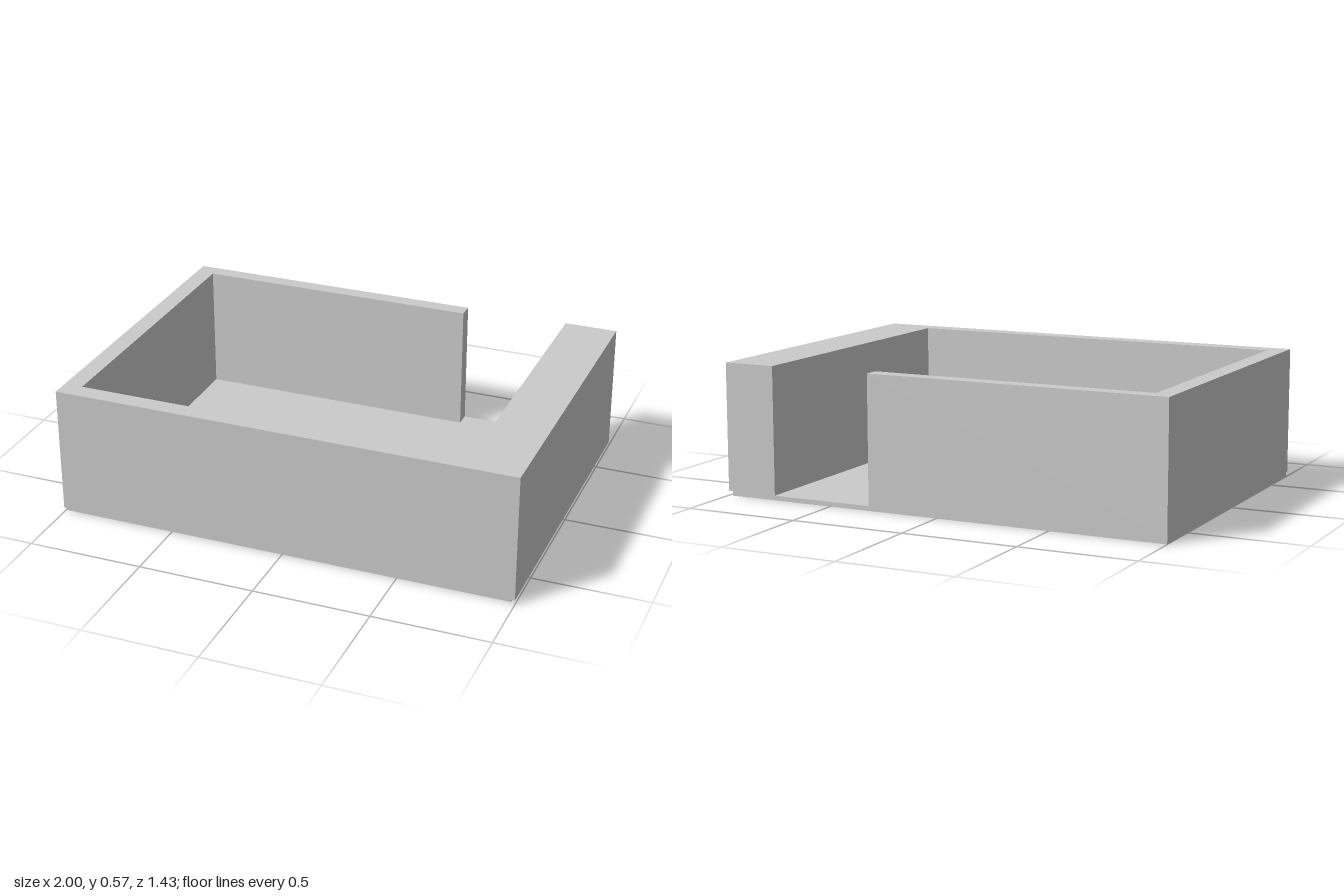
import * as THREE from 'three';

export function createModel() {
  const group = new THREE.Group();
  const material = new THREE.MeshStandardMaterial({ color: 0xcccccc, flatShading: true });
  const floorTop = 0.02, wallTop = 0.57;
  const back = -0.715, front = 0.715;

  // Thin floor slab, slightly short of the walls at the left and front
  const floorWidth = 1.98, floorDepth = 1.415;
  const floor = new THREE.Mesh(new THREE.BoxGeometry(floorWidth, floorTop, floorDepth), material);
  floor.position.set(-1 + floorWidth / 2, floorTop / 2, back + floorDepth / 2);
  floor.name = 'floor';
  group.add(floor);

  // One continuous wall around the room, with a doorway gap in the back; plan points are [x, z]
  const plan = [
    [0.315, back], [-1, back], [-1, front], [1, front], [1, back], [0.77, back],
    [0.77, 0.635], [-0.92, 0.635], [-0.92, -0.648], [0.315, -0.648],
  ];
  const shape = new THREE.Shape(plan.map(([x, z]) => new THREE.Vector2(x, -z)));
  const wallGeometry = new THREE.ExtrudeGeometry(shape, { depth: wallTop - floorTop, bevelEnabled: false });
  wallGeometry.rotateX(-Math.PI / 2);
  const walls = new THREE.Mesh(wallGeometry, material);
  walls.position.y = floorTop;
  walls.name = 'walls';
  group.add(walls);

  return group;
}
